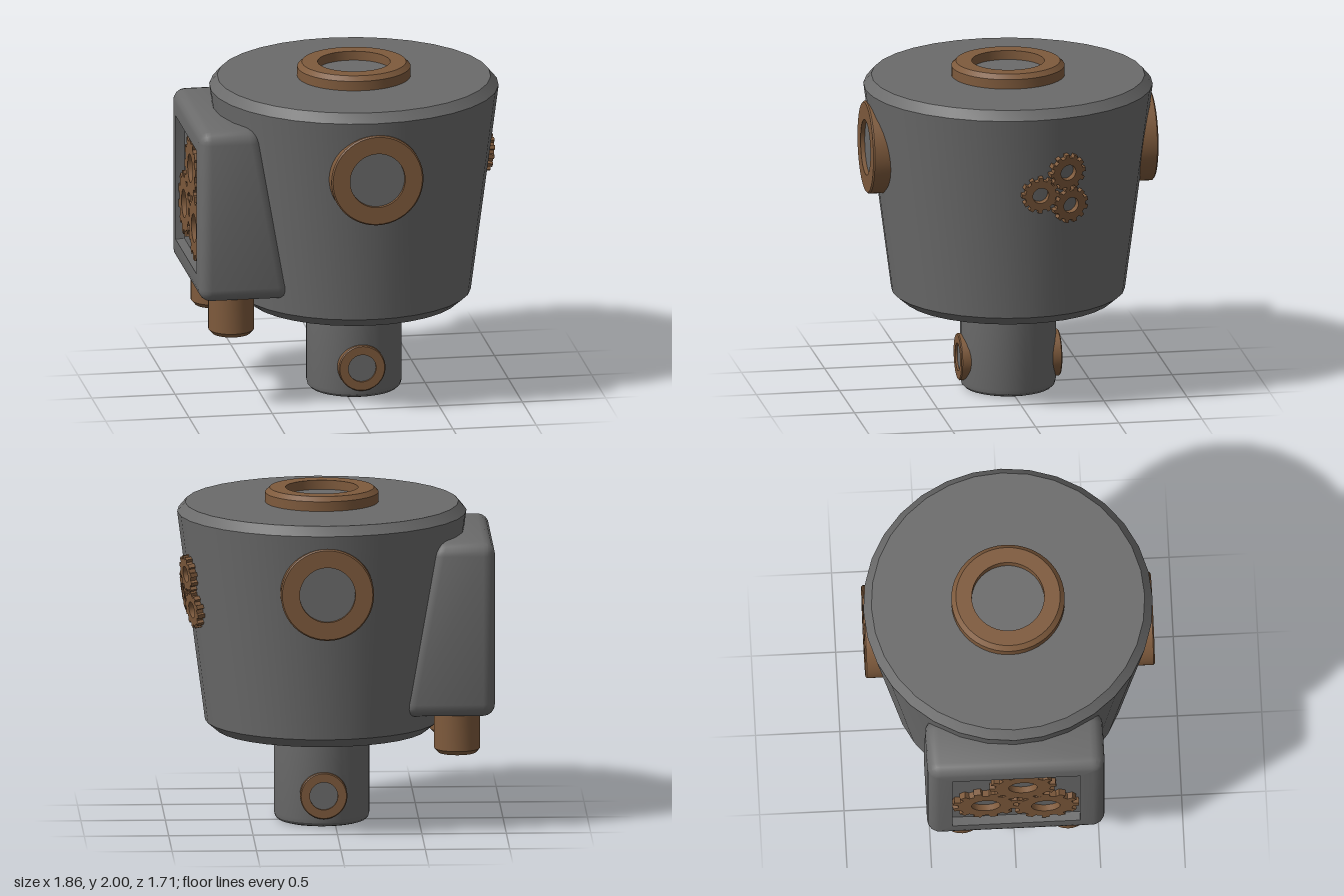
import * as THREE from 'three';
import { toCreasedNormals } from 'three/addons/utils/BufferGeometryUtils.js';

const grey = new THREE.MeshStandardMaterial({ color: 0x6b6b6b });
const bronze = new THREE.MeshStandardMaterial({ color: 0x7e5a3c });
const CX = 0.073; // axis of the round body

function add(parent, name, geometry, material) {
  const mesh = new THREE.Mesh(toCreasedNormals(geometry, 0.5), material);
  mesh.name = name;
  parent.add(mesh);
  return mesh;
}

// Turned part from [radius, height] pairs
function turned(points, segments = 32) {
  return new THREE.LatheGeometry(points.map(([r, y]) => new THREE.Vector2(r, y)), segments);
}

// Ring with a chamfered front edge at y = 0, closed by a grey pane set back in its bore
function port(parent, name, outer, inner, depth, chamfer, setBack) {
  const group = new THREE.Group();
  group.name = name;
  add(group, 'ring', turned([
    [inner, -depth], [outer, -depth], [outer, -chamfer],
    [outer - chamfer, 0], [inner, 0], [inner, -depth],
  ], 48), bronze);
  add(group, 'pane', new THREE.CircleGeometry(inner, 48).rotateX(-Math.PI / 2), grey).position.y = -setBack;
  parent.add(group);
  return group;
}

// Toothed wheel facing +z, with a round bore
function gear(radius, depth, teeth = 12) {
  const shape = new THREE.Shape();
  const step = (Math.PI * 2) / teeth;
  const root = radius * 0.83;
  for (let i = 0; i < teeth; i++) {
    [[-0.28, root], [-0.21, radius], [0.21, radius], [0.28, root]].forEach(([t, r], k) => {
      const a = (i + t) * step;
      shape[i + k ? 'lineTo' : 'moveTo'](Math.cos(a) * r, Math.sin(a) * r);
    });
  }
  shape.closePath();
  shape.holes.push(new THREE.Path().absarc(0, 0, radius * 0.43, 0, Math.PI * 2, true));
  return new THREE.ExtrudeGeometry(shape, { depth, bevelEnabled: false, curveSegments: 12 });
}

// Side housing: rounded rectangles skinned from the recess, round the rim, to the slanted back
function housingGeometry() {
  const X0 = -0.934, CY = 1.224, HALF = 0.526, WINDOW = 0.38, B = 0.07, R = 0.08, N = 5;
  const back = (y) => -0.567 + (1.7 - y) * 0.183;
  const loops = [
    [0, 0, 0, () => X0 + 0.055],
    [WINDOW, WINDOW, 0.005, () => X0 + 0.055],
    [WINDOW, WINDOW, 0.005, () => X0],
  ];
  const arc = [0, 1, 2, 3, 4].map((i) => (i / 4) * Math.PI / 2);
  arc.forEach((a) => {
    const inset = B * (1 - Math.sin(a));
    loops.push([HALF - inset, HALF - inset, R - inset, () => X0 + B * (1 - Math.cos(a))]);
  });
  [...arc].reverse().forEach((a) => {
    const inset = B * (1 - Math.sin(a));
    loops.push([HALF - inset, HALF - inset, R - inset, (y) => back(y) - B * (1 - Math.cos(a))]);
  });
  loops.push([0, 0, 0, back]);

  const position = [], index = [], count = 4 * N;
  for (const [hz, hy, r, xAt] of loops) {
    for (let j = 0; j < count; j++) {
      const corner = Math.floor(j / N);
      const a = (corner + (j % N) / (N - 1)) * Math.PI / 2;
      const sz = corner === 0 || corner === 3 ? 1 : -1;
      const sy = corner < 2 ? 1 : -1;
      const y = CY + sy * (hy - r) + Math.sin(a) * r;
      position.push(xAt(y), y, sz * (hz - r) + Math.cos(a) * r);
    }
  }
  for (let i = 0; i < loops.length - 1; i++) {
    for (let j = 0; j < count; j++) {
      const k = (j + 1) % count;
      const a = i * count + j, b = a + count, c = (i + 1) * count + k, d = i * count + k;
      index.push(a, b, c, a, c, d);
    }
  }
  const geometry = new THREE.BufferGeometry();
  geometry.setAttribute('position', new THREE.Float32BufferAttribute(position, 3));
  geometry.setIndex(index);
  return geometry;
}

export function createModel() {
  const model = new THREE.Group();
  model.name = 'machineHead';

  // Tapered drum and the neck below it
  add(model, 'drum', turned([
    [0, 0.55], [0.625, 0.55], [0.692, 0.606], [0.857, 1.86], [0.81, 1.915], [0, 1.915],
  ]), grey).position.x = CX;
  add(model, 'neck', turned([
    [0, 0], [0.235, 0], [0.26, 0.008], [0.277, 0.025], [0.283, 0.05], [0.283, 0.6],
  ]), grey).position.x = CX;

  // Top collar
  port(model, 'topRing', 0.336, 0.215, 0.1, 0.027, 0.055).position.set(CX, 2, 0);

  // Porthole rings, front and back
  for (const side of [1, -1]) {
    const end = side > 0 ? 'front' : 'back';
    const large = port(model, end + 'PortRing', 0.276, 0.165, 0.17, 0.008, 0.025);
    large.position.set(CX, 1.508, side * 0.857);
    const small = port(model, end + 'NeckRing', 0.14, 0.083, 0.1, 0.006, 0.013);
    small.position.set(CX, 0.194, side * 0.303);
    large.rotation.x = small.rotation.x = side * Math.PI / 2;
  }

  // Small gears lying on the tapered wall
  const wallGears = new THREE.Group();
  wallGears.name = 'wallGears';
  model.add(wallGears);
  [[1.393, -0.048, 0], [1.525, -0.209, 0.1], [1.315, -0.231, 0.3]].forEach(([y, z, spin]) => {
    const radius = 0.692 + (y - 0.606) * 0.1316;
    const a = Math.asin(z / radius);
    const holder = new THREE.Group();
    holder.name = 'wallGearMount';
    holder.position.set(CX + Math.cos(a) * radius, y, z);
    holder.rotation.set(0.131, Math.PI / 2 - a, 0, 'YXZ');
    const wheel = add(holder, 'wallGear', gear(0.113, 0.055), bronze);
    wheel.position.z = -0.023;
    wheel.rotation.z = spin;
    wallGears.add(holder);
  });

  // Side housing with gears in its recess
  add(model, 'sideHousing', housingGeometry(), grey);
  [[1.4, 0.04, 0.1], [1.07, 0.175, 0], [1.12, -0.18, 0.26]].forEach(([y, z, spin]) => {
    const wheel = add(model, 'housingGear', gear(0.198, 0.045), bronze);
    wheel.position.set(-0.872, y, z);
    wheel.rotation.set(0, -Math.PI / 2, spin);
  });

  // Open pipe ends under the housing
  for (const z of [0.315, -0.315]) {
    add(model, 'pipe', turned([
      [0, 0.53], [0.097, 0.53], [0.097, 0.458], [0.112, 0.458], [0.136, 0.484], [0.136, 0.75],
    ]), bronze).position.set(-0.716, 0, z);
  }
  return model;
}
